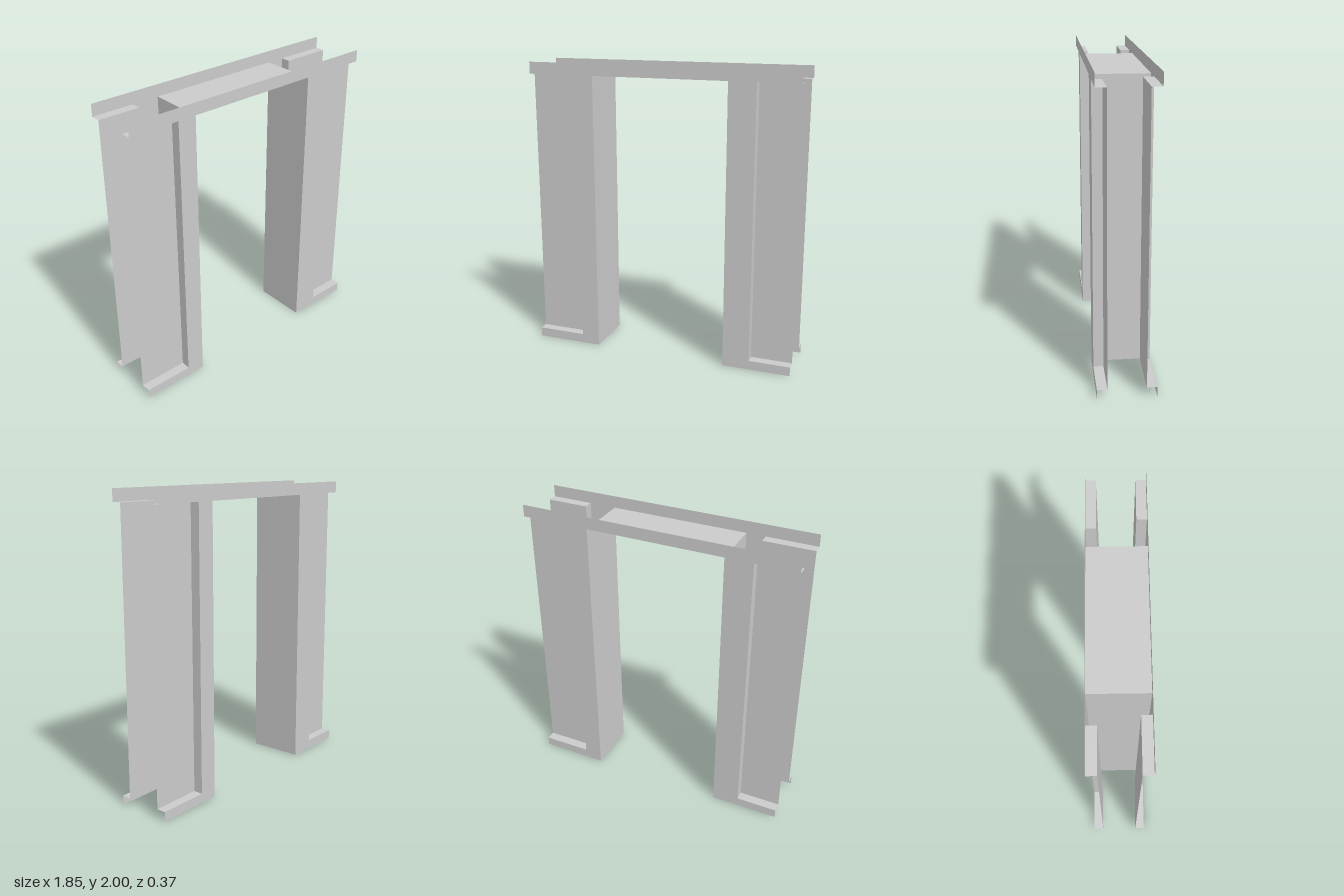
import * as THREE from 'three';

const W = 0.927, INNER = 0.463, H = 2, LINTEL = 1.92, LEDGE = 0.063; // widths and heights
const Z = 0.187, RECESS = 0.122; // depth of the face and of the recessed panels
const NICHE_L = -0.588, NICHE_R = 0.646; // inner edges of the two recesses

export function createModel() {
  const model = new THREE.Group();
  const material = new THREE.MeshStandardMaterial({ color: 0xcccccc, side: THREE.DoubleSide, flatShading: true });

  const add = (parent, name, geometry, x, y, z) => {
    const mesh = new THREE.Mesh(geometry, material);
    mesh.name = name;
    mesh.position.set(x, y, z);
    parent.add(mesh);
    return mesh;
  };
  // Thin sheets: facing front, lying flat, or facing sideways
  const panel = (p, name, x0, x1, y0, y1, z) =>
    add(p, name, new THREE.PlaneGeometry(x1 - x0, y1 - y0), (x0 + x1) / 2, (y0 + y1) / 2, z);
  const shelf = (p, name, x0, x1, z0, z1, y, up = 1) =>
    add(p, name, new THREE.PlaneGeometry(x1 - x0, z1 - z0).rotateX(-up * Math.PI / 2), (x0 + x1) / 2, y, (z0 + z1) / 2);
  const wall = (p, name, z0, z1, y0, y1, x, side) =>
    add(p, name, new THREE.PlaneGeometry(z1 - z0, y1 - y0).rotateY(side * Math.PI / 2), x, (y0 + y1) / 2, (z0 + z1) / 2);

  // One face of the frame: header, two posts, each cut by a recess open at its outer end
  const createFace = (name) => {
    const face = new THREE.Group();
    face.name = name;
    const outline = [
      [-W, 0], [-INNER, 0], [-INNER, LINTEL], [INNER, LINTEL], [INNER, 0], [W, 0],
      [W, LEDGE], [NICHE_R, LEDGE], [NICHE_R, LINTEL], [W, LINTEL], [W, H],
      [-W, H], [-W, LINTEL], [NICHE_L, LINTEL], [NICHE_L, LEDGE], [-W, LEDGE],
    ].map(([x, y]) => new THREE.Vector2(x, y));
    add(face, 'facePlate', new THREE.ShapeGeometry(new THREE.Shape(outline)), 0, 0, Z);

    for (const [x0, x1, edge, side] of [[-W, NICHE_L, NICHE_L, -1], [NICHE_R, W, NICHE_R, 1]]) {
      panel(face, 'recessedPanel', x0, x1, LEDGE, LINTEL, RECESS);
      shelf(face, 'lowerLedge', x0, x1, RECESS, Z, LEDGE, 1);
      shelf(face, 'upperLedge', x0, x1, RECESS, Z, LINTEL, -1);
      wall(face, 'recessEdge', RECESS, Z, LEDGE, LINTEL, edge, side);
    }
    return face;
  };

  // The back is the front turned half way round
  const back = createFace('backFace');
  back.rotation.y = Math.PI;
  model.add(createFace('frontFace'), back);

  // Lining of the opening
  wall(model, 'rightJamb', -Z, Z, 0, LINTEL, -INNER, 1);
  wall(model, 'leftJamb', -Z, Z, 0, LINTEL, INNER, -1);
  shelf(model, 'soffit', -INNER, INNER, -Z, Z, LINTEL, -1);
  return model;
}
